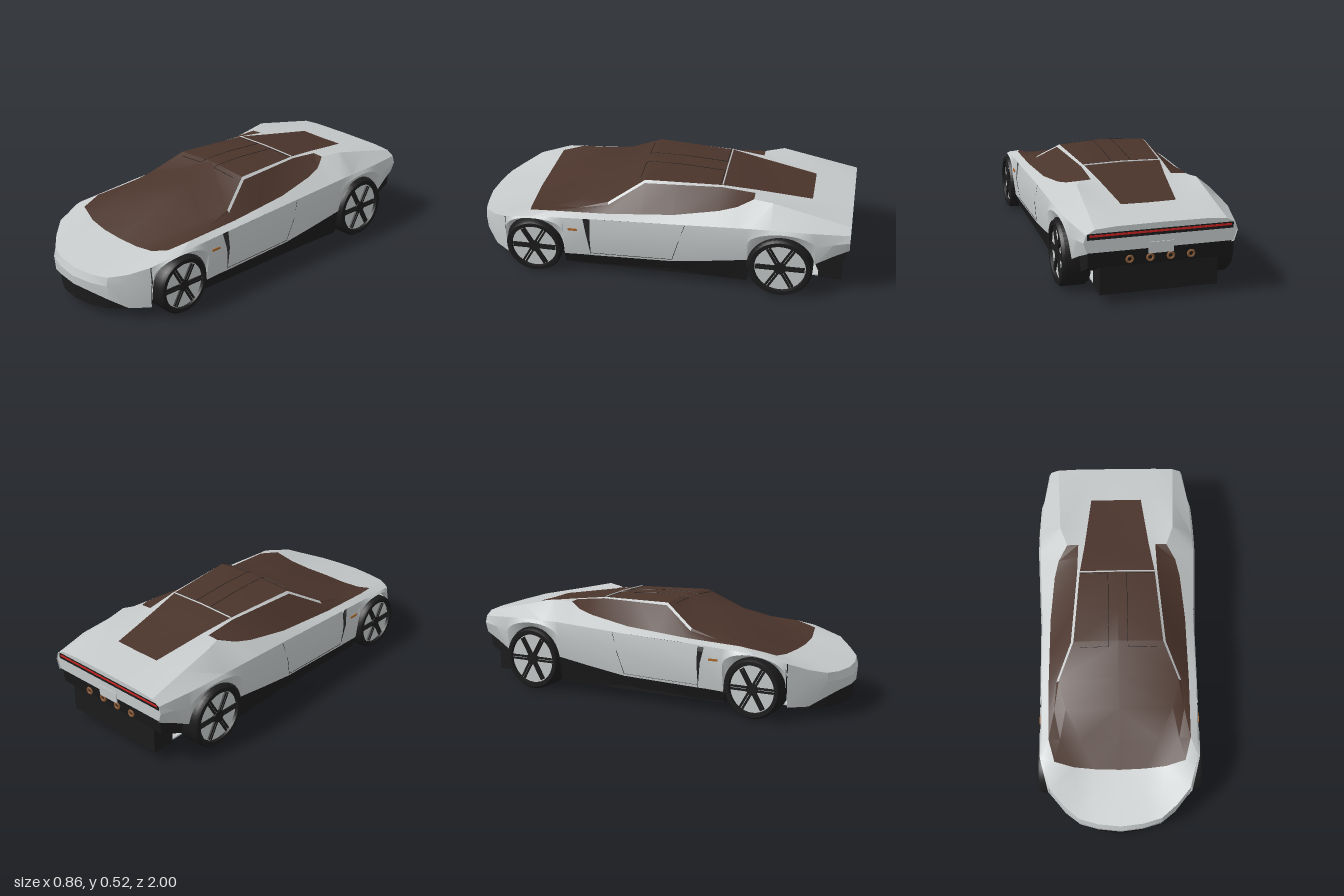
import * as THREE from 'three';
import { toCreasedNormals } from 'three/addons/utils/BufferGeometryUtils.js';

const material = (name, color) => {
  const m = new THREE.MeshStandardMaterial({ color, side: THREE.DoubleSide });
  m.name = name;
  return m;
};

// Guide lines along the body, each point [z, x, y] from tail to nose
const CENTRE = [[-1, 0, .395], [-.6, 0, .45], [-.33, 0, .5], [-.1, 0, .517], [.07, 0, .518], [.4, 0, .405], [.7, 0, .277], [.985, 0, .215]];
const ROOF_EDGE = [[-1, .11, .394], [-.5, .173, .47], [-.33, .2, .495], [.07, .234, .504], [.25, .315, .4], [.4, .28, .383],
  [.695, .13, .278], [.972, .12, .217]];
const PILLAR = [[-1, .22, .393], [-.6, .212, .455], [-.5, .208, .47], [-.33, .214, .49], [.07, .248, .492], [.25, .328, .388],
  [.4, .34, .364], [.55, .31, .342], [.686, .24, .29], [.945, .215, .226]];
const BELT = [[-1, .32, .385], [-.6, .305, .475], [-.5, .268, .467], [-.42, .315, .44], [-.33, .337, .42], [-.1, .36, .385], [.25, .37, .36],
  [.55, .37, .348], [.64, .345, .333], [.88, .295, .25]];
const SHOULDER = [[-1, .362, .36], [-.79, .402, .375], [-.5, .418, .38], [-.1, .405, .355], [.25, .41, .345], [.64, .405, .325], [.8, .365, .285]];
const SILL = [[-1, .27], [-.84, .2], [-.48, .19], [-.3, .16], [-.1, .13], [.33, .12], [.367, .12], [.47, .115]];
const STATIONS = [-1, -.79, -.6, -.5, -.42, -.33, -.1, .07, .25, .4, .55, .7, .84, .985];
const WHEELS = [{ name: 'front', z: .632, r: .15, x: .355, arch: .159 }, { name: 'rear', z: -.66, r: .165, x: .36, arch: .172 }];

// Linear interpolation of column k in a table sorted by its first column
function lookup(table, z, k) {
  let i = 0;
  while (i < table.length - 2 && table[i + 1][0] < z) i++;
  const [a, b] = [table[i], table[i + 1]];
  return a[k] + (b[k] - a[k]) * THREE.MathUtils.clamp((z - a[0]) / (b[0] - a[0]), 0, 1);
}

// Samples a guide line at the stations, swept back towards the nose, then rolls it under to the chin
function rail(guide, sweep) {
  const points = STATIONS.map(s => {
    const z = s - sweep * Math.max(0, (s - .55) / .435);
    return [z, lookup(guide, z, 1), lookup(guide, z, 2)];
  });
  const [z, x] = points.at(-1), q = x * x;
  points.push([z + .015 - .13 * q, x * 1.015, .175 + .19 * q], [z + .01 - .11 * q, x * .985, Math.max(.065, .127 - 8.5 * q * q)]);
  return points;
}

// Body side at z, from shoulder over the widest line to the lower edge
function sideSection(z, lower) {
  const x = lookup(SHOULDER, z, 1), y = lookup(SHOULDER, z, 2);
  return [[z, x, y], [z, x + .012, lower + (y - lower) * .6], [z, x - .005, lower]];
}
function sidePoint(z, y) {
  const s = sideSection(z, lookup(SILL, z, 1)).reverse().map(p => [p[2], p[1]]);
  return [lookup(s, y, 1), y, z];
}

// Collects mirrored quads and turns them into a mesh
class Skin {
  pos = [];
  quad(...corners) {
    const [a, b, c, d] = corners.map(([z, x, y]) => [x, y, z]);
    const flip = p => [-p[0], p[1], p[2]];
    for (const t of [[a, b, c], [a, c, d]]) {
      t.forEach(p => this.pos.push(...p));
      [t[0], t[2], t[1]].forEach(p => this.pos.push(...flip(p)));
    }
  }
  mesh(name, mat) {
    const g = new THREE.BufferGeometry();
    g.setAttribute('position', new THREE.Float32BufferAttribute(this.pos, 3));
    const m = new THREE.Mesh(toCreasedNormals(g, .4), mat);
    m.name = name;
    return m;
  }
}

export function createModel() {
  const car = new THREE.Group();
  car.name = 'sportsCar';
  const silver = material('silver paint', 0xc6cacb), glass = material('brown glass', 0x4a342b);
  const black = material('black trim', 0x1b1b1b), red = material('red light', 0xd02222);
  const amber = material('amber light', 0xa8682c), bronze = material('bronze', 0x8a5a36);

  const add = (name, geo, mat, x = 0, y = 0, z = 0, parent = car) => {
    const m = new THREE.Mesh(geo, mat);
    m.name = name;
    m.position.set(x, y, z);
    parent.add(m);
    return m;
  };
  const box = (name, mat, w, h, d, x, y, z) => add(name, new THREE.BoxGeometry(w, h, d), mat, x, y, z);
  const line = (name, mat, pts, r = .0013) => {
    for (let i = 0; i + 1 < pts.length; i++) {
      const c = new THREE.LineCurve3(new THREE.Vector3(...pts[i]), new THREE.Vector3(...pts[i + 1]));
      add(name, new THREE.TubeGeometry(c, 1, r, 5), mat);
    }
  };

  // Upper shell and nose, with windscreen, roof, engine cover and side windows
  const shell = new Skin(), windows = new Skin(), sills = new Skin();
  const rails = [rail(CENTRE, 0), rail(ROOF_EDGE, .013), rail(PILLAR, .04), rail(BELT, .105), rail(SHOULDER, .185)];
  const glassFrom = [1, 8, 3, 99];
  for (let j = 0; j < 4; j++) {
    for (let i = 0; i + 1 < rails[j].length; i++) {
      const skin = i >= glassFrom[j] && i < 11 ? windows : shell;
      skin.quad(rails[j][i], rails[j][i + 1], rails[j + 1][i + 1], rails[j + 1][i]);
    }
  }

  // Lower edge of the body side, running over both wheel arches
  const arch = (w, min) => Array.from({ length: 19 }, (_, k) => {
    const t = Math.PI * (1 - k / 18);
    return [w.z + w.arch * Math.cos(t), Math.max(min, w.r + w.arch * Math.sin(t))];
  });
  const edge = [[-1, .27], [-.92, .235], ...arch(WHEELS[1], .19), ...SILL.slice(2), ...arch(WHEELS[0], .15), [.795, .065]];
  for (let i = 0; i + 1 < edge.length; i++) {
    const [z0, y0] = edge[i], [z1, y1] = edge[i + 1];
    if (z1 - z0 < 1e-4) continue;
    const a = sideSection(z0, y0), b = sideSection(z1, y1);
    if (z0 === .33) { // open wedge-shaped air slot ahead of the door
      a[0] = b[0];
      a[1] = a[1].map((v, k) => (v + b[1][k]) / 2);
    }
    for (let j = 0; j < 2; j++) shell.quad(a[j], b[j], b[j + 1], a[j + 1]);
    if (z0 > -.49 && z1 < .472) {
      const low = p => [p[0], p[1] - .02, .055];
      sills.quad(a[2], b[2], low(b[2]), low(a[2]));
    }
  }
  car.add(shell.mesh('bodyShell', silver), windows.mesh('windows', glass), sills.mesh('sills', black));

  // Tail panel set under the rear lip, with light bar and plate
  const half = [...rails.map(r => r[0]), ...sideSection(-1, .27).slice(1)].map(p => [p[1], p[2]]);
  const outline = [...half, ...half.slice(1).reverse().map(([x, y]) => [-x, y])].map(p => new THREE.Vector2(...p));
  add('tailPanel', new THREE.ShapeGeometry(new THREE.Shape(outline)), silver, 0, 0, -.992).rotation.y = Math.PI;
  box('tailStrip', black, .71, .03, .006, 0, .348, -.991);
  box('tailLight', red, .69, .01, .008, 0, .352, -.992);
  box('rearPlate', silver, .12, .055, .008, 0, .272, -.992);

  // Floor, underpanels, rear valance and diffuser
  box('floor', black, .77, .05, .955, 0, .08, -.0095);
  box('frontUnderpanel', silver, .58, .008, .34, 0, .06, .635);
  box('rearUnderpanel', silver, .57, .008, .38, 0, .06, -.67);
  const valance = new THREE.Shape([[.82, .2], [.988, .272], [.975, .19], [.85, .13]].map(p => new THREE.Vector2(...p)));
  const valanceGeo = new THREE.ExtrudeGeometry(valance, { depth: .7, bevelEnabled: false });
  add('rearValance', valanceGeo, black, -.35, 0, 0).rotation.y = Math.PI / 2;
  box('diffuser', black, .58, .15, .12, 0, .125, -.91);
  for (const x of [-.15, -.05, .05, .15]) {
    add('exhaust', new THREE.TorusGeometry(.015, .006, 6, 14), bronze, x, .222, -.985);
  }

  // Front splitter under the nose
  const plan = [[0, .988], [.11, .973], [.19, .935], [.262, .87], [.28, .79]];
  const splitter = new THREE.Shape([...plan, ...plan.slice(1).reverse().map(([x, z]) => [-x, z])].map(p => new THREE.Vector2(...p)));
  const splitterGeo = new THREE.ExtrudeGeometry(splitter, { depth: .085, bevelEnabled: false });
  add('frontSplitter', splitterGeo, black, 0, .13, 0).rotation.x = Math.PI / 2;

  // Wheels: tyre, pale disc, paired dark spokes and hub
  for (const w of WHEELS) {
    for (const s of [1, -1]) {
      const wheel = new THREE.Group(), r = w.r, h = .07;
      wheel.name = w.name + (s > 0 ? 'LeftWheel' : 'RightWheel');
      wheel.position.set(s * w.x, r, w.z);
      wheel.rotation.z = -s * Math.PI / 2;
      car.add(wheel);
      const tyre = [[.6, -h], [.94, -h], [1, -h + .015], [1, h - .015], [.94, h], [.81, h], [.79, h - .02]];
      const tyreGeo = new THREE.LatheGeometry(tyre.map(([k, y]) => new THREE.Vector2(k * r, y)), 40);
      add('tyre', toCreasedNormals(tyreGeo, .6), black, 0, 0, 0, wheel);
      add('wheelDisc', new THREE.CylinderGeometry(r * .8, r * .8, .08, 32), silver, 0, .014, 0, wheel);
      add('wheelBack', new THREE.CylinderGeometry(r * .62, r * .62, .04, 24), black, 0, -.045, 0, wheel);
      add('hub', new THREE.CylinderGeometry(r * .2, r * .2, .02, 16), black, 0, .055, 0, wheel);
      for (let k = 0; k < 6; k++) {
        const spoke = new THREE.Group();
        spoke.name = 'spoke';
        spoke.rotation.y = k * Math.PI / 3;
        wheel.add(spoke);
        for (const o of [-1, 1]) {
          add('spokeBar', new THREE.BoxGeometry(.01, .014, r * .62), black, o * .0075, .056, r * .45, spoke);
        }
      }
    }
  }

  // Door seams, roof panel seams and side markers on both sides
  for (const s of [1, -1]) {
    const m = ([x, y, z]) => [s * x, y, z];
    const door = [[.33, .135], [.1, .138], [-.1, .142], [-.135, .26], [-.165, .355]];
    line('doorSeam', black, door.map(([z, y]) => m(sidePoint(z, y))));
    line('roofSeam', black, [[.19, .497, -.32], [.05, .5, -.32], [.05, .515, -.1], [.05, .515, .07], [.05, .507, .1], [.2, .497, .1]].map(m));
    box('sideMarker', amber, .006, .011, .05, s * .4175, .275, .42);
  }
  line('roofBar', silver, [[-.2, .496, -.33], [0, .501, -.33], [.2, .496, -.33]], .004);
  return car;
}
